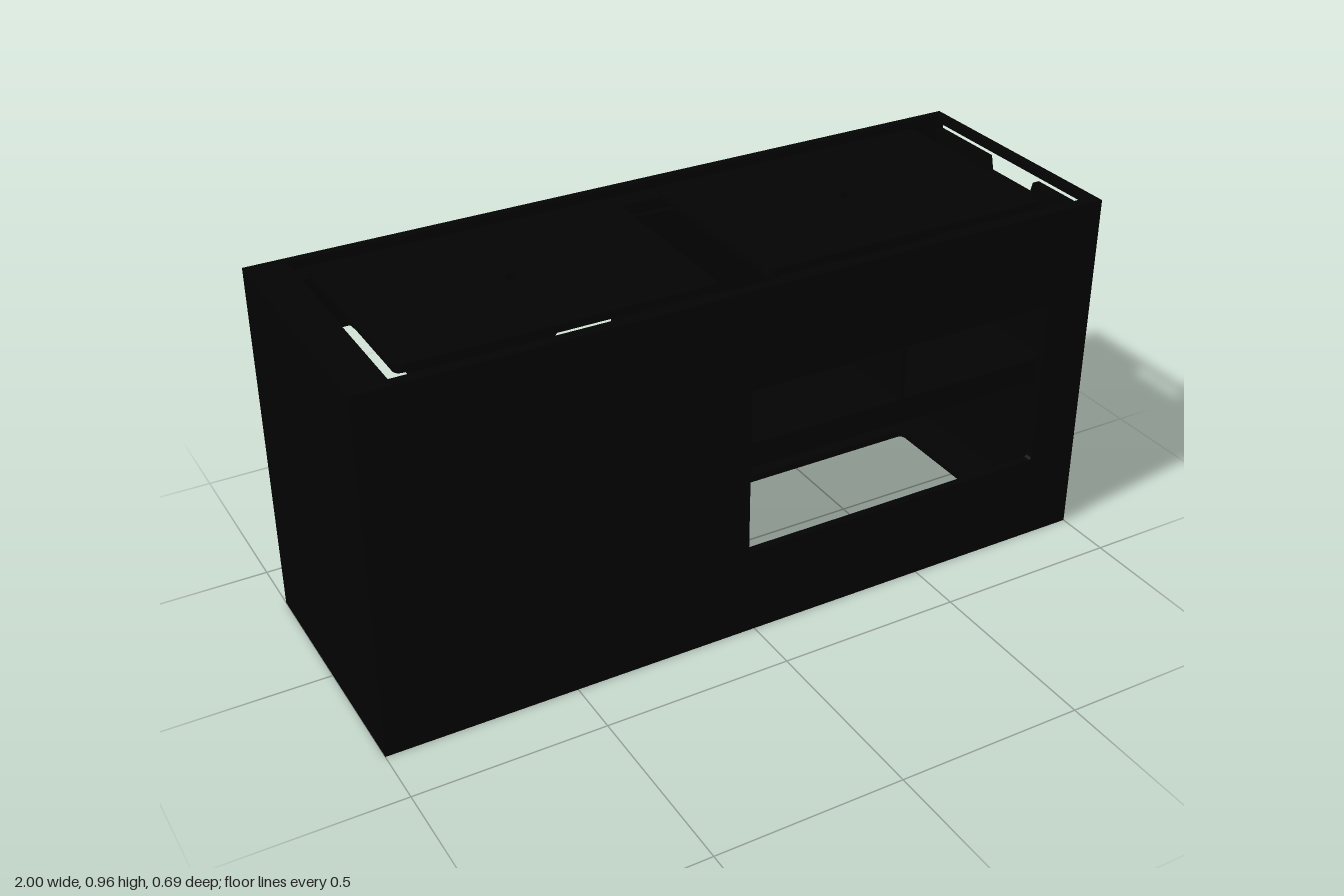
import * as THREE from 'three';

const W = 2, H = 0.965, D = 0.69, T = 0.02;
const black = new THREE.MeshStandardMaterial({ color: 0x030303 });
black.name = 'matte black';

function poly(points, Type = THREE.Path) {
  const p = new Type();
  points.forEach(([x, y], i) => (i ? p.lineTo(x, y) : p.moveTo(x, y)));
  p.closePath();
  return p;
}

// Rectangle from two corners, with optional rounded corners
function rect(x0, y0, x1, y1, r = 0, Type = THREE.Path) {
  if (!r) return poly([[x0, y0], [x1, y0], [x1, y1], [x0, y1]], Type);
  const p = new Type();
  p.moveTo(x0 + r, y0);
  p.lineTo(x1 - r, y0);
  p.quadraticCurveTo(x1, y0, x1, y0 + r);
  p.lineTo(x1, y1 - r);
  p.quadraticCurveTo(x1, y1, x1 - r, y1);
  p.lineTo(x0 + r, y1);
  p.quadraticCurveTo(x0, y1, x0, y1 - r);
  p.lineTo(x0, y0 + r);
  p.quadraticCurveTo(x0, y0, x0 + r, y0);
  return p;
}

function disc(x, y, r) {
  const p = new THREE.Path();
  p.absarc(x, y, r, 0, Math.PI * 2, true);
  return p;
}

// Flat sheet with openings, extruded along its own z
function sheet(name, outline, holes = []) {
  outline.holes = holes;
  const geo = new THREE.ExtrudeGeometry(outline, { depth: T, bevelEnabled: false, curveSegments: 12 });
  const m = new THREE.Mesh(geo, black);
  m.name = name;
  return m;
}

// Box from minimum and maximum corners
function block(name, x0, y0, z0, x1, y1, z1) {
  const m = new THREE.Mesh(new THREE.BoxGeometry(x1 - x0, y1 - y0, z1 - z0), black);
  m.name = name;
  m.position.set((x0 + x1) / 2, (y0 + y1) / 2, (z0 + z1) / 2);
  return m;
}

// Openings that leave two cross braces: a middle hexagon, small triangles and outer halves
function braceHoles() {
  const out = [poly([[-0.08, 0.22], [0.08, 0.22], [0.28, 0.49], [0.08, 0.77], [-0.08, 0.77], [-0.28, 0.49]])];
  for (const s of [-1, 1]) {
    out.push(poly([[s * 0.28, 0.76], [s * 0.53, 0.76], [s * 0.405, 0.59]]));
    out.push(poly([[s * 0.28, 0.22], [s * 0.53, 0.22], [s * 0.405, 0.39]]));
    out.push(poly([[s * 0.87, 0.25], [s * 0.87, 0.76], [s * 0.76, 0.76], [s * 0.55, 0.49], [s * 0.74, 0.25]]));
  }
  return out;
}

export function createModel() {
  const g = new THREE.Group();
  g.name = 'cabinet';
  const S = THREE.Shape;

  // Front with display window and a small switch plate
  const front = sheet('frontPanel', rect(-1, 0, 1, H, 0, S), [rect(-0.02, 0.24, 0.86, 0.7, 0.015)]);
  front.position.z = D / 2 - T;
  g.add(front);
  g.add(block('switchPlate', 0.88, 0.88, D / 2 - 0.001, 0.905, 0.94, D / 2 + 0.0005));

  // Back with two cross braces
  const back = sheet('backPanel', rect(-1, 0, 1, H, 0, S), braceHoles());
  back.position.z = -D / 2;
  g.add(back);

  // Ends; the left one has a slot with a hand notch
  const d = D / 2 - T;
  const slot = poly([[-0.323, 0.923], [-0.1, 0.923], [-0.09, 0.885], [0.09, 0.885],
    [0.1, 0.923], [0.323, 0.923], [0.323, 0.957], [-0.323, 0.957]]);
  for (const s of [-1, 1]) {
    const end = sheet(s > 0 ? 'leftEnd' : 'rightEnd', rect(-d, 0, d, H, 0, S), s > 0 ? [slot] : []);
    end.rotation.y = Math.PI / 2;
    end.position.x = s > 0 ? W / 2 - T : -W / 2;
    g.add(end);
  }

  // Floor and top sheets are drawn with shape y = -z
  const flat = (m, y) => {
    m.rotation.x = -Math.PI / 2;
    m.position.y = y;
    g.add(m);
  };
  const e = W / 2 - T;
  flat(sheet('floor', rect(-e, -d, e, d, 0, S), [
    rect(-0.86, -0.19, -0.07, 0.245, 0.02),
    rect(0.08, -0.19, 0.87, 0.245, 0.02),
  ]), 0);
  flat(sheet('topFrame', rect(-e, -d, e, d, 0, S), [rect(-0.9, -0.315, 0.979, 0.323)]), H - T);

  // Lids with finger holes
  for (const s of [-1, 1]) {
    const lid = rect(s * 0.465 - 0.4, -0.265, s * 0.465 + 0.4, 0.285, 0.02, S);
    flat(sheet(s > 0 ? 'leftLid' : 'rightLid', lid, [disc(s * 0.465, 0, 0.02)]), H - T - 0.004);
  }

  // Ledge carrying the lids at the back
  g.add(block('lidLedge', -e, H - 0.045, -d, 0.87, H - T - 0.005, -0.265));

  // Corner posts
  for (const sx of [-1, 1]) for (const sz of [-1, 1]) {
    const x = sx * (e - 0.015), z = sz * (d - 0.015);
    g.add(block('cornerPost', x - 0.015, T, z - 0.015, x + 0.015, 0.87, z + 0.015));
  }

  // Inner compartment behind the window
  g.add(block('compartmentSide', -0.05, T, -0.304, -0.03, 0.88, 0.306));
  g.add(block('compartmentBack', -0.05, 0.15, -0.322, 0.93, 0.88, -0.304));
  g.add(block('shelf', -0.03, 0.48, -0.304, 0.93, 0.5, 0.27));
  g.add(block('shelfLip', -0.03, 0.43, 0.25, 0.93, 0.48, 0.27));
  g.add(block('shelfDivider', 0.465, 0.5, -0.304, 0.48, 0.75, 0.27));

  return g;
}
